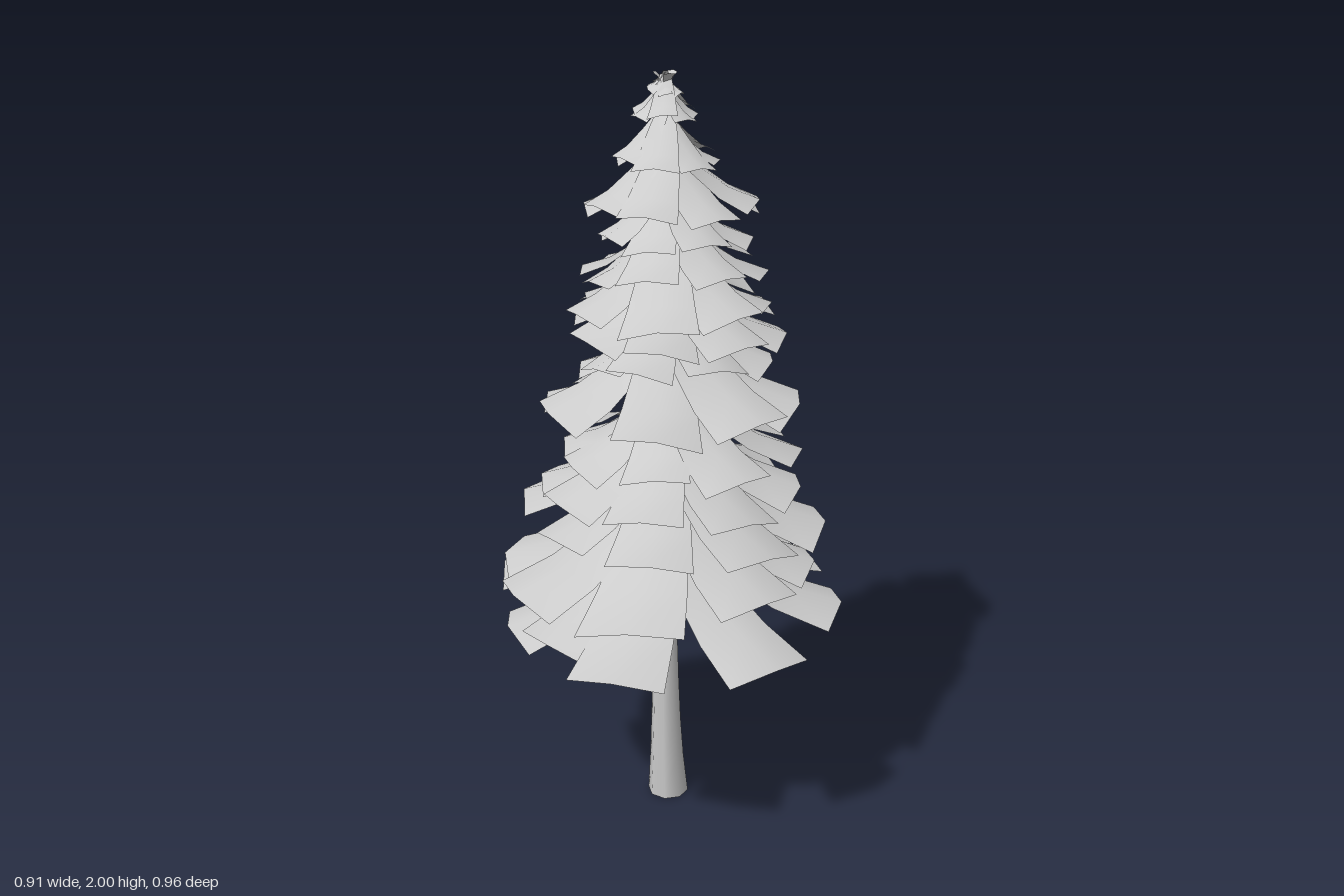
import * as THREE from 'three';

const material = new THREE.MeshStandardMaterial({ color: 0xcccccc, side: THREE.DoubleSide });

// Gently bowed centre line of the trunk
const spine = new THREE.CatmullRomCurve3([
  [-0.01, 0, -0.035], [-0.012, 0.2, -0.016], [-0.012, 0.6, -0.004],
  [-0.01, 1.2, -0.012], [-0.015, 1.6, -0.04], [-0.02, 2, -0.06],
].map((p) => new THREE.Vector3(...p)));

function spineAt(y) {
  let lo = 0, hi = 1;
  for (let i = 0; i < 20; i++) {
    const mid = (lo + hi) / 2;
    if (spine.getPoint(mid).y < y) lo = mid; else hi = mid;
  }
  return spine.getPoint(lo);
}

// Repeatable jitter in the range -1..1
let seed = 7;
function jitter() {
  seed = (seed * 16807) % 2147483647;
  return (seed / 2147483647) * 2 - 1;
}

// Tapered trunk, flared at the root
function makeTrunk() {
  const height = 1.97;
  const g = new THREE.CylinderGeometry(1, 1, height, 8, 16);
  g.translate(0, height / 2, 0);
  const p = g.attributes.position;
  for (let i = 0; i < p.count; i++) {
    const y = p.getY(i);
    const r = 0.04 - 0.0165 * y + 0.016 * Math.exp(-y * 5);
    const c = spineAt(y);
    p.setXYZ(i, c.x + p.getX(i) * r, y, c.z + p.getZ(i) * r);
  }
  const mesh = new THREE.Mesh(g, material);
  mesh.name = 'trunk';
  return mesh;
}

// Sheet that sweeps out and down, folded softly along its middle
function makeFrond(angleDeg, reach, tipY, rise, width, roll = 0) {
  const g = new THREE.PlaneGeometry(1, 1, 2, 3);
  const p = g.attributes.position;
  for (let i = 0; i < p.count; i++) {
    const s = p.getX(i) * 2;          // -1..1 across
    const t = 0.5 - p.getY(i);        // 0 at trunk, 1 at tip
    const half = width * 0.5 * (0.35 + 0.65 * Math.pow(t, 0.7));
    const drop = width * t * (0.1 * Math.abs(s) + roll * s);
    const y = rise * Math.pow(1 - t, 1.5) - drop;
    p.setXYZ(i, s * half, y, reach * t - width * 0.12 * Math.abs(s) * t);
  }
  g.computeVertexNormals();
  const mesh = new THREE.Mesh(g, material);
  const c = spineAt(Math.min(tipY + rise, 1.98));
  mesh.position.set(c.x, tipY, c.z);
  mesh.rotation.y = THREE.MathUtils.degToRad(angleDeg);
  mesh.name = 'frond';
  return mesh;
}

export function createModel() {
  const tree = new THREE.Group();
  tree.name = 'conifer';
  tree.add(makeTrunk());

  // Lowest skirt: angle from the front, reach, tip height
  const skirt = new THREE.Group();
  skirt.name = 'lowestFronds';
  [
    [-6, 0.49, 0.63], [46, 0.465, 0.61], [93, 0.467, 0.635], [136, 0.475, 0.64],
    [172, 0.48, 0.6], [-128, 0.46, 0.6], [-91, 0.443, 0.69], [-64, 0.43, 0.6],
    [-37, 0.42, 0.64],
  ].forEach(([a, reach, y]) => skirt.add(makeFrond(a, reach, y, 0.21, 0.25)));
  tree.add(skirt);

  // Upper tiers: distance from the axis and tip height of the front, left, back and right fronds
  const tiers = [
    [[0.445, 0.745], [0.38, 0.75], [0.36, 0.71], [0.44, 0.74]],
    [[0.345, 0.88], [0.405, 0.86], [0.36, 0.86], [0.39, 0.91]],
    [[0.31, 0.98], [0.34, 0.97], [0.27, 1.02], [0.34, 0.96]],
    [[0.26, 1.07], [0.34, 1.06], [0.31, 1.08], [0.28, 1.06]],
    [[0.335, 1.2], [0.335, 1.2], [0.275, 1.19], [0.33, 1.17]],
    [[0.23, 1.33], [0.26, 1.3], [0.24, 1.28], [0.24, 1.26]],
    [[0.25, 1.39], [0.29, 1.36], [0.32, 1.42], [0.25, 1.39]],
    [[0.27, 1.45], [0.25, 1.44], [0.25, 1.47], [0.22, 1.45]],
    [[0.19, 1.55], [0.24, 1.52], [0.285, 1.53], [0.235, 1.51]],
    [[0.15, 1.61], [0.2, 1.6], [0.25, 1.58], [0.18, 1.6]],
    [[0.175, 1.7], [0.215, 1.7], [0.28, 1.68], [0.22, 1.68]],
    [[0.11, 1.8], [0.115, 1.79], [0.185, 1.8], [0.14, 1.79]],
    [[0.03, 1.91], [0.06, 1.9], [0.135, 1.9], [0.1, 1.91]],
  ];
  tiers.forEach((tips, k) => {
    const tier = new THREE.Group();
    tier.name = `frondTier${k + 1}`;
    // Distances measured from the leaning trunk
    const c = spineAt(tips[0][1] + 0.08);
    const lean = [c.z, c.x, -c.z, -c.x];
    const reaches = tips.map(([d], i) => d - lean[i]);
    for (let i = 0; i < 4; i++) {
      const j = (i + 1) % 4;
      const diagonal = (reaches[i] + reaches[j]) / 2 * (1 + jitter() * 0.04);
      const diagonalY = (tips[i][1] + tips[j][1]) / 2 + jitter() * 0.02;
      [[0, reaches[i], tips[i][1]], [45, diagonal, diagonalY]].forEach(([turn, reach, y]) => {
        tier.add(makeFrond(i * 90 + turn + jitter() * 7, reach, y,
          0.4 * reach + 0.045, 0.56 * reach + 0.025, jitter() * 0.08));
      });
    }
    tree.add(tier);
  });

  // Small ragged leaves closing the tip
  const crown = new THREE.Group();
  crown.name = 'crown';
  for (let i = 0; i < 8; i++) {
    crown.add(makeFrond(i * 45 + jitter() * 12, 0.045, 1.96 + jitter() * 0.012, 0.034, 0.035, jitter() * 0.3));
  }
  for (let i = 0; i < 3; i++) crown.add(makeFrond(i * 120 + 30, 0.03, 1.998, -0.04, 0.03));
  tree.add(crown);

  // Bare twig under the skirt
  const twig = new THREE.Mesh(new THREE.TubeGeometry(new THREE.QuadraticBezierCurve3(
    new THREE.Vector3(-0.01, 0.6, 0), new THREE.Vector3(-0.06, 0.57, 0.0),
    new THREE.Vector3(-0.11, 0.55, 0.0)), 4, 0.007, 5), material);
  twig.name = 'twig';
  tree.add(twig);
  return tree;
}
